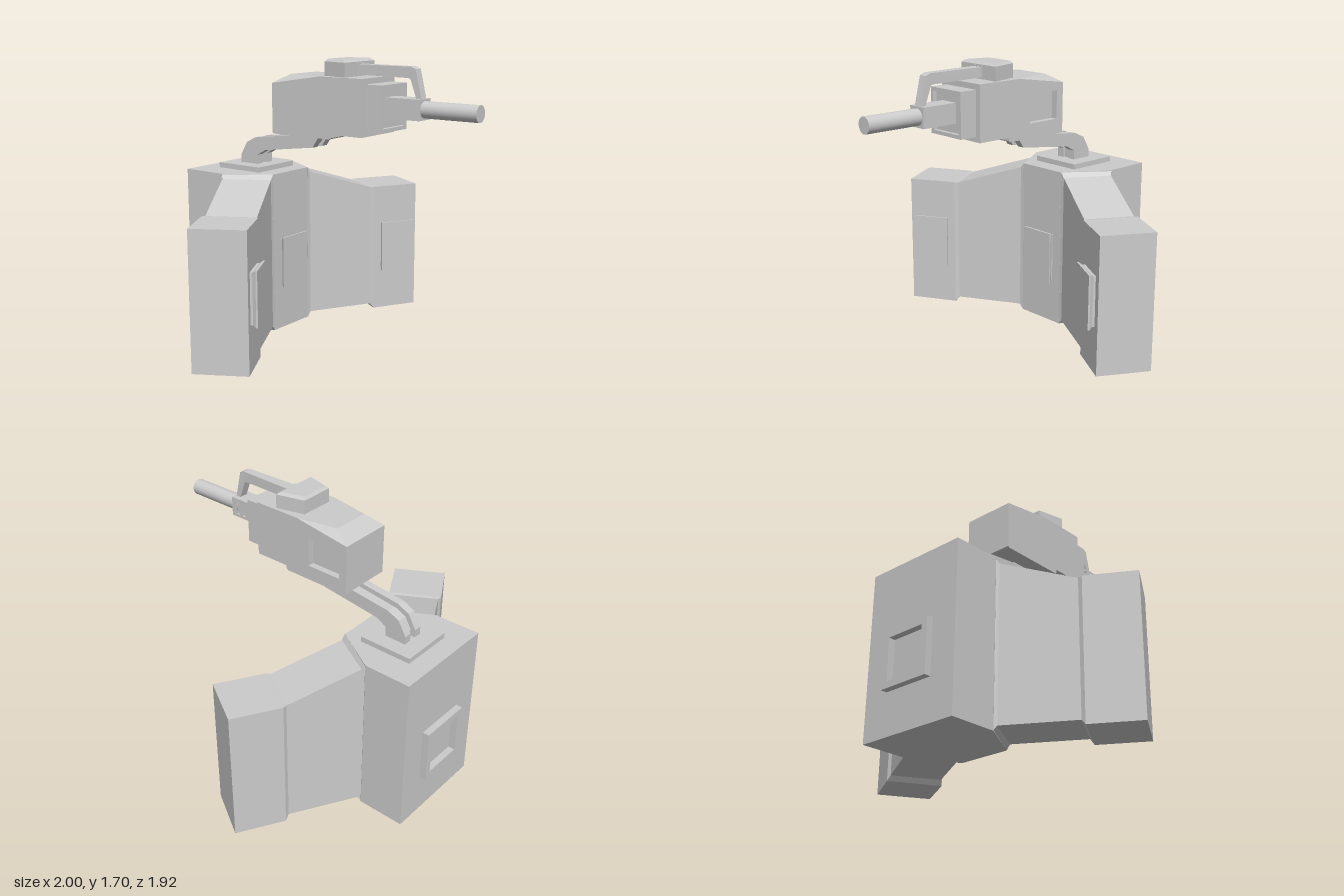
import * as THREE from 'three';

const mat = new THREE.MeshStandardMaterial({ color: 0xcccccc, flatShading: true });
const smooth = new THREE.MeshStandardMaterial({ color: 0xcccccc });
const inner = new THREE.MeshStandardMaterial({ color: 0xcccccc, flatShading: true, side: THREE.BackSide });

function add(parent, name, geo, material = mat) {
  const mesh = new THREE.Mesh(geo, material);
  mesh.name = name;
  parent.add(mesh);
  return mesh;
}

// Box given by its limits
function box(x0, x1, y0, y1, z0, z1) {
  return new THREE.BoxGeometry(x1 - x0, y1 - y0, z1 - z0)
    .translate((x0 + x1) / 2, (y0 + y1) / 2, (z0 + z1) / 2);
}

// Skin between rings of [x, y, z] points, with end caps; side number "skip" stays open
function loft(rings, skip = -1) {
  const pos = [];
  const tri = (a, b, c) => pos.push(...a, ...b, ...c);
  const n = rings[0].length;
  for (let i = 0; i + 1 < rings.length; i++) {
    for (let k = 0; k < n; k++) {
      if (k === skip) continue;
      const j = (k + 1) % n, r = rings[i], s = rings[i + 1];
      tri(r[k], r[j], s[j]);
      tri(r[k], s[j], s[k]);
    }
  }
  const first = rings[0], last = rings[rings.length - 1];
  for (let k = 1; k + 1 < n; k++) {
    tri(first[0], first[k + 1], first[k]);
    tri(last[0], last[k], last[k + 1]);
  }
  const geo = new THREE.BufferGeometry();
  geo.setAttribute('position', new THREE.Float32BufferAttribute(pos, 3));
  geo.computeVertexNormals();
  return geo;
}

// Rectangular rings along x and along z
const ringX = ([x, y0, y1, z0, z1]) => [[x, y0, z0], [x, y1, z0], [x, y1, z1], [x, y0, z1]];
const ringZ = ([z, x, y0, y1]) => [[-x, y0, z], [x, y0, z], [x, y1, z], [-x, y1, z]];

const rect = (x0, x1, y0, y1) => [[x0, y0], [x1, y0], [x1, y1], [x0, y1]];
const vec = (pts) => pts.map(([a, b]) => new THREE.Vector2(a, b));

function makeShape(pts, holes = []) {
  const shape = new THREE.Shape(vec(pts));
  holes.forEach((h) => shape.holes.push(new THREE.Path(vec(h))));
  return shape;
}

// Side profile of [z, y] points, extruded from x0 to x1
function sideExtrude(pts, x0, x1, holes = []) {
  const flip = (list) => list.map(([z, y]) => [-z, y]);
  const geo = new THREE.ExtrudeGeometry(makeShape(flip(pts), holes.map(flip)),
    { depth: x1 - x0, bevelEnabled: false });
  return geo.rotateY(Math.PI / 2).translate(x0, 0, 0);
}

// Plate that flares slightly outward
function flaredPanel(xc, z0) {
  return loft([
    ringZ([z0, 0.1, 0.28, 0.58]),
    ringZ([z0 + 0.015, 0.1, 0.28, 0.58]),
    ringZ([z0 + 0.035, 0.113, 0.267, 0.592]),
    ringZ([z0 + 0.045, 0.113, 0.267, 0.592]),
  ]).translate(xc, 0, 0);
}

function makeBase() {
  const base = new THREE.Group();
  base.name = 'base';

  // Central block with cut front corners
  const plan = [[-0.33, 0.92], [0.33, 0.92], [0.33, 0.63], [0.165, 0.355], [-0.165, 0.355], [-0.33, 0.63]].reverse();
  add(base, 'centralBlock', new THREE.ExtrudeGeometry(makeShape(plan), { depth: 0.99, bevelEnabled: false })
    .rotateX(-Math.PI / 2));
  add(base, 'frontPanel', flaredPanel(0, -0.36));

  // Raised frame on the back
  const frame = makeShape(rect(-0.165, 0.165, 0.25, 0.578), [rect(-0.125, 0.125, 0.29, 0.538)]);
  add(base, 'backFrame', new THREE.ExtrudeGeometry(frame, { depth: 0.04, bevelEnabled: false })
    .translate(0, 0, -0.96));

  // Two angled wings, the second mirrored
  for (const side of [1, -1]) {
    const mirror = new THREE.Group();
    mirror.name = side > 0 ? 'leftWing' : 'rightWing';
    mirror.scale.x = side;
    const wing = new THREE.Group();
    wing.rotation.y = -Math.PI / 6;
    mirror.add(wing);
    add(wing, 'wingBody', loft([
      [-0.034, 0, 0.99, -0.71, -0.39],
      [-0.012, 0.03, 0.96, -0.7, -0.4],
      [0.415, 0.03, 0.825, -0.7, -0.4],
      [0.437, 0, 0.828, -0.716, -0.389],
      [0.74, 0, 0.828, -0.716, -0.389],
    ].map(ringX)));
    add(wing, 'wingPanel', flaredPanel(0.588, -0.39));
    base.add(mirror);
  }
  return base;
}

function makeArm() {
  const arm = new THREE.Group();
  arm.name = 'supportArm';
  add(arm, 'mountPlate', box(-0.165, 0.165, 0.985, 1.022, -0.8, -0.47));
  const profile = [[-0.565, 1.02], [-0.7, 1.02], [-0.7, 1.07], [-0.65, 1.155], [-0.575, 1.19],
    [-0.21, 1.235], [-0.2, 1.245], [-0.07, 1.245], [-0.125, 1.165], [-0.5, 1.115], [-0.565, 1.08]];
  for (const x of [-0.07, 0.022]) add(arm, 'armStrip', sideExtrude(profile, x, x + 0.048));
  // Thinner web between the strips
  const web = [[-0.58, 1.02], [-0.67, 1.02], [-0.67, 1.06], [-0.63, 1.13], [-0.565, 1.16],
    [-0.2, 1.21], [-0.16, 1.245], [-0.09, 1.245], [-0.14, 1.18], [-0.51, 1.13], [-0.58, 1.09]];
  add(arm, 'armWeb', sideExtrude(web, -0.022, 0.022));
  return arm;
}

function makeTurret() {
  const turret = new THREE.Group();
  turret.name = 'turret';

  // Housing, chamfered toward the rear; the left wall is made apart, with a window
  const w = 0.165;
  const rings = [[-0.355, 1.545, 0.165, 1.545], [-0.25, 1.5613, 0.115, 1.6], [0, 1.6, 0.165, 1.6], [0.3, 1.6, 0.165, 1.6]]
    .map(([z, ys, t, yt]) => [[-w, 1.27, z], [w, 1.27, z], [w, ys, z], [t, yt, z], [-t, yt, z], [-w, ys, z]]);
  add(turret, 'housing', loft(rings, 1));
  const wall = makeShape([[-0.3, 1.27], [0.355, 1.27], [0.355, 1.545], [0, 1.6], [-0.3, 1.6]],
    [rect(0.085, 0.35 - 0.045, 1.33, 1.502)]);
  add(turret, 'windowWall', new THREE.ShapeGeometry(wall).rotateY(Math.PI / 2).translate(w, 0, 0));
  add(turret, 'windowRecess', box(w - 0.04, w, 1.33, 1.502, -0.305, -0.085), inner);
  add(turret, 'underPlate', sideExtrude([[-0.355, 1.25], [-0.345, 1.242], [0.07, 1.242], [0.082, 1.25], [0.082, 1.275], [-0.355, 1.275]], -w, w));

  // Front block with a shallow framed recess
  add(turret, 'frontBlock', box(-0.13, 0.13, 1.3, 1.567, 0.29, 0.385));
  const rim = makeShape(rect(-0.13, 0.13, 1.3, 1.567), [rect(-0.11, 0.11, 1.322, 1.545)]);
  add(turret, 'frontRim', new THREE.ExtrudeGeometry(rim, { depth: 0.026, bevelEnabled: false }).translate(0, 0, 0.384));

  // Slotted collar around a core, then the barrel
  const slots = [0.43, 0.465, 0.515, 0.562].map((z) => {
    const pts = [];
    for (let i = 0; i < 12; i++) {
      const a = (i + 0.5) / 12 * Math.PI * 2;
      pts.push([z + 0.011 * Math.cos(a), 1.435 + 0.011 * Math.sin(a) + (i < 6 ? 0.03 : -0.03)]);
    }
    return pts;
  });
  add(turret, 'collar', sideExtrude(rect(0.38, 0.612, 1.377, 1.495), -0.058, 0.058, slots));
  add(turret, 'collarCore', box(-0.042, 0.042, 1.39, 1.48, 0.38, 0.6));
  add(turret, 'barrel', new THREE.CylinderGeometry(0.048, 0.048, 0.38, 32).rotateX(Math.PI / 2)
    .translate(0, 1.436, 0.77), smooth);

  // Top bracket, narrower at the rear, with a bevelled lid
  const bracketRing = (y, f, b, z0, z1) => [[-f, y, z1], [f, y, z1], [b, y, z0], [-b, y, z0]];
  add(turret, 'topBracket', loft([
    bracketRing(1.59, 0.147, 0.105, -0.005, 0.168),
    bracketRing(1.683, 0.147, 0.105, -0.005, 0.168),
    bracketRing(1.698, 0.128, 0.09, 0.01, 0.15),
  ]));
  const socket = makeShape(rect(-0.042, 0.042, 1.613, 1.677), [rect(-0.03, 0.03, 1.622, 1.668)]);
  add(turret, 'bracketSocket', new THREE.ExtrudeGeometry(socket, { depth: 0.008, bevelEnabled: false }).translate(0, 0, 0.166));

  // Tapering rod from the bracket down to the collar
  const rod = [[0.15, 1.612, 0.15, 1.67, 0.036], [0.52, 1.607, 0.535, 1.67, 0.026],
    [0.533, 1.6, 0.565, 1.658, 0.026], [0.575, 1.485, 0.607, 1.485, 0.026]]
    .map(([zl, yl, zh, yh, x]) => [[-x, yl, zl], [x, yl, zl], [x, yh, zh], [-x, yh, zh]]);
  add(turret, 'topRod', loft(rod));
  return turret;
}

export function createModel() {
  const model = new THREE.Group();
  model.name = 'sentryTurret';
  model.add(makeBase(), makeArm(), makeTurret());
  return model;
}
